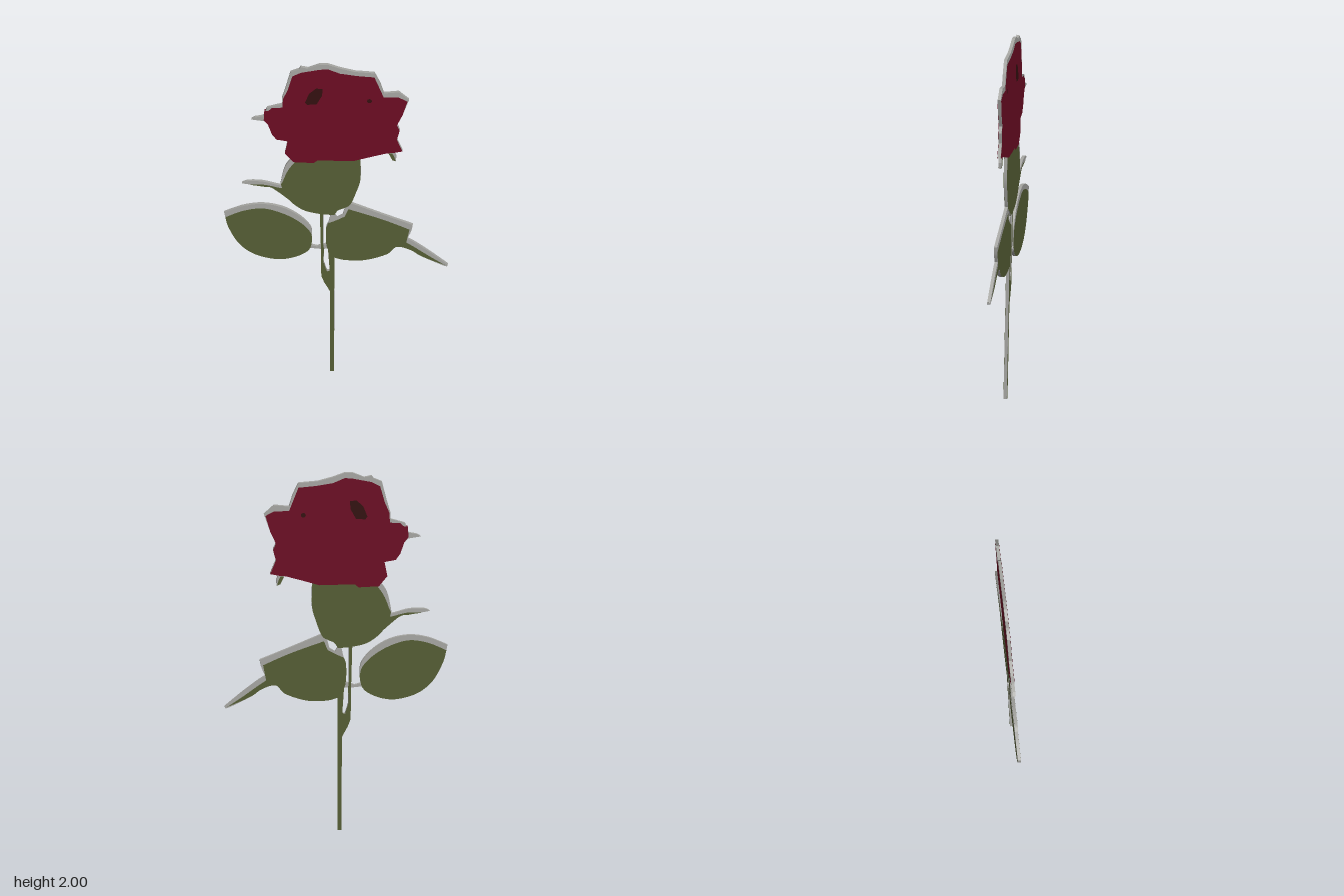
import * as THREE from 'three';

const mat = (name, color, side = THREE.DoubleSide) => {
  const m = new THREE.MeshStandardMaterial({ color, side });
  m.name = name;
  return m;
};

const THICK = 0.017;

// Outline from open smooth runs; runs meet at sharp corners.
function smooth(...runs) {
  const s = new THREE.Shape();
  s.moveTo(...runs[0][0]);
  let last = runs[0][0];
  runs.forEach((run, i) => {
    const pts = i ? run : run.slice(1);
    if (pts.length === 1) s.lineTo(...pts[0]);
    else s.splineThru(pts.map(p => new THREE.Vector2(...p)));
    last = pts[pts.length - 1];
  });
  if (last[0] !== runs[0][0][0] || last[1] !== runs[0][0][1]) s.closePath();
  return s;
}
const poly = pts => new THREE.Shape(pts.map(p => new THREE.Vector2(...p)));

export function createModel() {
  const grey = mat('edgeGrey', 0xa6a6a2, THREE.FrontSide);
  const green = mat('leafGreen', 0x555d34);
  const red = mat('petalRed', 0x6b0c23);
  const dark = mat('darkFold', 0x33100f);

  const rose = new THREE.Group();
  rose.name = 'rose';

  // Grey cut-out board
  const slab = (name, shape) => {
    const g = new THREE.ExtrudeGeometry(shape, { depth: THICK, bevelEnabled: false, curveSegments: 24 });
    g.translate(0, 0, -THICK / 2);
    const m = new THREE.Mesh(g, grey);
    m.name = name;
    rose.add(m);
  };
  // Flat colour on both faces of the board
  const paint = (name, shape, material, layer = 1) => {
    const g = new THREE.ShapeGeometry(shape, 24);
    for (const side of [1, -1]) {
      const m = new THREE.Mesh(g, material);
      m.name = name + (side > 0 ? 'Front' : 'Back');
      m.position.z = side * (THICK / 2 + 0.0008 * layer);
      if (side < 0) { m.scale.z = -1; }
      rose.add(m);
    }
  };

  // Bloom: shared lower rim, with a grey margin along the top
  const rim = [[0.355, 1.68], [0.325, 1.615], [0.34, 1.58], [0.325, 1.52], [0.355, 1.445],
    [0.31, 1.435], [0.27, 1.43], [0.17, 1.40], [0.09, 1.375], [-0.1, 1.375], [-0.12, 1.357], [-0.23, 1.36],
    [-0.275, 1.415], [-0.26, 1.495], [-0.32, 1.505], [-0.345, 1.54], [-0.365, 1.6]];
  slab('bloomBoard', poly([[-0.455, 1.632], [-0.435, 1.645], [-0.39, 1.655], [-0.37, 1.71], [-0.29, 1.735],
    [-0.29, 1.775], [-0.27, 1.845], [-0.245, 1.945], [-0.2, 1.965], [-0.19, 1.98], [-0.15, 1.972], [-0.09, 1.998],
    [-0.045, 2.0], [0.02, 1.977], [0.1, 1.957], [0.205, 1.95], [0.235, 1.885], [0.255, 1.82], [0.335, 1.83],
    [0.39, 1.78], ...rim, [-0.385, 1.622]]));
  paint('petals', poly([[-0.388, 1.63], [-0.385, 1.69], [-0.365, 1.69], [-0.345, 1.71], [-0.288, 1.715],
    [-0.285, 1.77], [-0.26, 1.83], [-0.235, 1.92], [-0.19, 1.945], [-0.09, 1.967], [-0.045, 1.972], [0.02, 1.945],
    [0.11, 1.932], [0.205, 1.925], [0.23, 1.86], [0.255, 1.795], [0.335, 1.797], [0.382, 1.772], ...rim]), red, 2);
  paint('largeFold', poly([[-0.167, 1.752], [-0.145, 1.81], [-0.108, 1.845], [-0.072, 1.842], [-0.076, 1.797],
    [-0.105, 1.742], [-0.155, 1.737]]), dark, 3);
  const spot = new THREE.Shape();
  spot.absarc(0.178, 1.77, 0.013, 0, Math.PI * 2);
  paint('smallFold', spot, dark, 3);

  // Hip below the bloom
  const hipLow = [[-0.293, 1.2], [-0.255, 1.115], [-0.18, 1.05], [-0.09, 1.025], [-0.01, 1.02]];
  const hipRight = [[0.01, 1.05], [0.04, 1.065], [0.075, 1.09], [0.105, 1.165], [0.13, 1.26], [0.128, 1.4]];
  slab('hipBoard', smooth([[-0.22, 1.4], [-0.27, 1.335], [-0.295, 1.235], ...hipLow], hipRight));
  paint('hip', smooth([[-0.2, 1.39], [-0.255, 1.31], [-0.285, 1.235], ...hipLow], hipRight), green);

  // Sepals
  const sepalLow = [[-0.505, 1.213], [-0.39, 1.195], [-0.34, 1.185], [-0.25, 1.11]];
  slab('leftSepalBoard', smooth(sepalLow, [[-0.24, 1.22]],
    [[-0.295, 1.205], [-0.39, 1.227], [-0.47, 1.228], [-0.505, 1.213]]));
  paint('leftSepal', smooth([[-0.46, 1.205], ...sepalLow.slice(1)], [[-0.24, 1.19]],
    [[-0.295, 1.188], [-0.38, 1.207], [-0.46, 1.207]]), green);
  const sepal = poly([[0.28, 1.44], [0.3, 1.385], [0.32, 1.378], [0.322, 1.41], [0.31, 1.44]]);
  slab('rightSepalBoard', sepal);
  paint('rightSepal', poly([[0.28, 1.43], [0.3, 1.387], [0.318, 1.38], [0.31, 1.41], [0.3, 1.43]]), green);

  // Left leaf
  const leftLow = [[-0.13, 0.865], [-0.14, 0.8], [-0.18, 0.76], [-0.255, 0.73], [-0.335, 0.725], [-0.44, 0.755],
    [-0.52, 0.82], [-0.575, 0.92]];
  slab('leftLeafBoard', smooth([[-0.6, 1.02], [-0.495, 1.065], [-0.39, 1.081], [-0.285, 1.06], [-0.195, 1.005],
    [-0.137, 0.935], ...leftLow, [-0.6, 1.02]]));
  paint('leftLeaf', smooth([[-0.594, 0.99], [-0.495, 1.035], [-0.39, 1.052], [-0.285, 1.022], [-0.2, 0.972],
    [-0.145, 0.915], ...leftLow, [-0.594, 0.99]]), green);
  slab('leftLeafStalk', poly([[-0.15, 0.802], [-0.075, 0.795], [-0.04, 0.8], [-0.04, 0.828], [-0.075, 0.822],
    [-0.1, 0.81], [-0.15, 0.823]]));

  // Right leaf with its narrow tail
  const leafLow = [[0.46, 0.76], [0.4, 0.8], [0.325, 0.82], [0.27, 0.77], [0.155, 0.73], [0.05, 0.727],
    [-0.012, 0.742]];
  const leafInner = [[-0.05, 0.81], [-0.055, 0.92], [-0.042, 0.965], [-0.03, 1.02]];
  slab('rightLeafBoard', smooth([[0.075, 1.1], [0.245, 1.03], [0.41, 0.965]], [[0.4, 0.92], [0.38, 0.875]],
    [[0.42, 0.85], [0.5, 0.79], [0.597, 0.71]], [[0.58, 0.702], ...leafLow], leafInner,
    [[-0.01, 1.025]], [[0.005, 1.0]], [[0.035, 1.02]], [[0.045, 1.06]]));
  paint('rightLeaf', smooth([[0.065, 1.06], [0.245, 0.998], [0.392, 0.935]], [[0.385, 0.9], [0.375, 0.85]],
    [[0.42, 0.82], [0.5, 0.763], [0.585, 0.706]], leafLow, leafInner.slice(0, 3),
    [[0.0, 0.985]], [[0.045, 1.01]]), green);

  // Forked stem
  const stem = poly([[-0.033, 0], [-0.012, 0], [-0.01, 0.76], [-0.045, 0.81], [-0.035, 0.655], [-0.05, 0.65],
    [-0.068, 0.71], [-0.066, 0.8], [-0.07, 0.83], [-0.07, 1.04], [-0.088, 1.04], [-0.082, 0.8], [-0.08, 0.62],
    [-0.065, 0.58], [-0.033, 0.52]]);
  slab('stemBoard', stem);
  paint('stem', stem, green);

  // Slight lean of the whole board
  rose.rotation.set(-0.02, -0.047, 0);
  rose.position.z = 0.02;
  const model = new THREE.Group();
  model.add(rose);
  return model;
}
